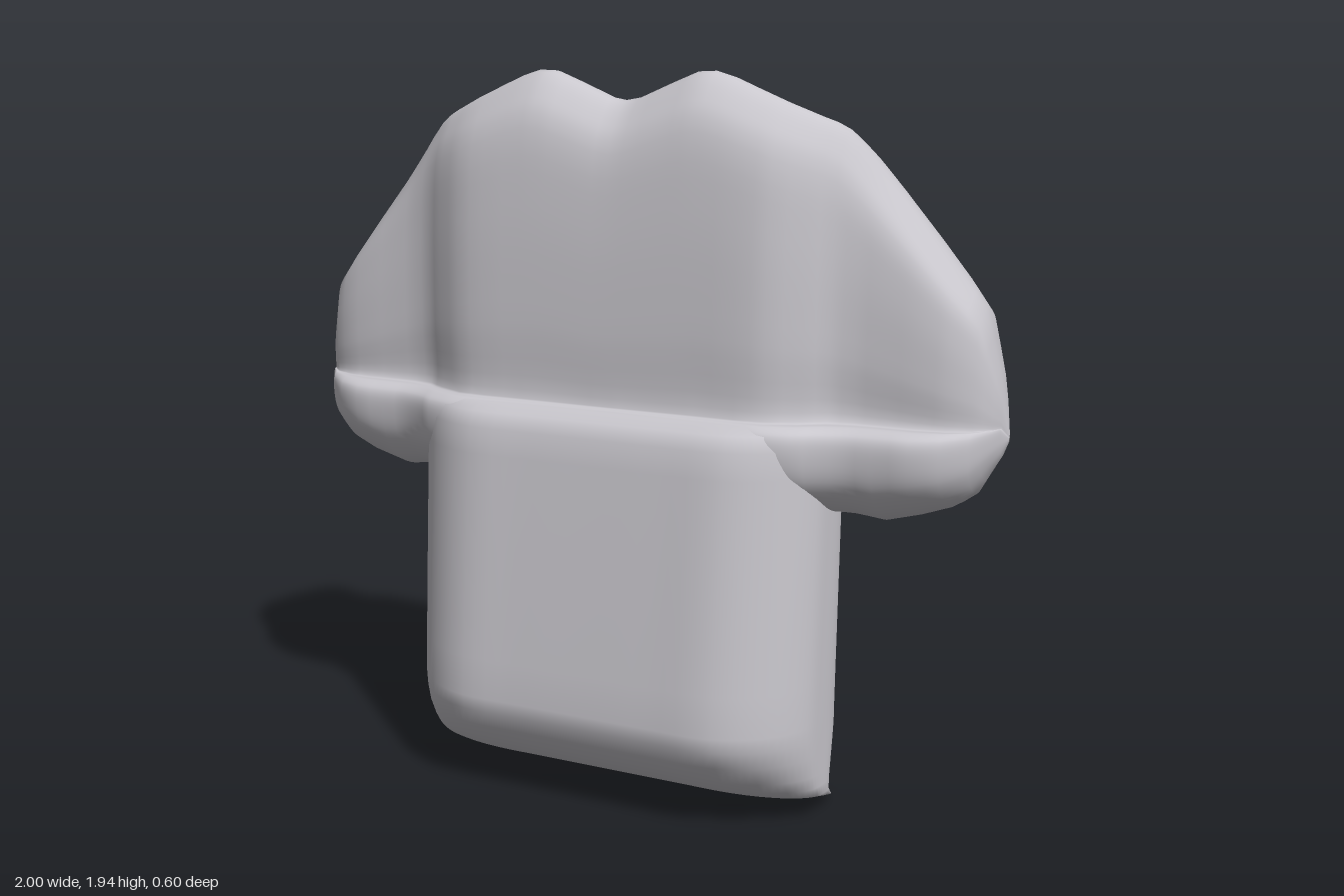
import * as THREE from 'three';

const lerp = THREE.MathUtils.lerp;

// Linear lookup in a table of [key, value, value, ...] rows
function sample(table, key) {
  let i = 0;
  while (i < table.length - 2 && key > table[i + 1][0]) i++;
  const a = table[i], b = table[i + 1];
  const t = THREE.MathUtils.clamp((key - a[0]) / (b[0] - a[0]), 0, 1);
  return a.slice(1).map((v, k) => lerp(v, b[k + 1], t));
}

// Smooth closed ring through a few section points
const smoothRing = (points, n) =>
  new THREE.CatmullRomCurve3(points, true, 'centripetal').getPoints(n).slice(0, n);

// Skin over a list of closed rings
function loft(rings) {
  const n = rings[0].length, index = [];
  for (let r = 0; r < rings.length - 1; r++) {
    for (let i = 0; i < n; i++) {
      const a = r * n + i, b = r * n + (i + 1) % n;
      index.push(a, b, b + n, a, b + n, a + n);
    }
  }
  const g = new THREE.BufferGeometry().setFromPoints(rings.flat());
  g.setIndex(index);
  g.computeVertexNormals();
  return g;
}

// Lower torso: y, front z, back z, width scale
const torsoRows = [
  [0, -0.125, -0.14, 0.93], [0.02, -0.07, -0.115, 0.97], [0.045, 0.02, -0.09, 0.99],
  [0.07, 0.12, -0.085, 1], [0.1, 0.17, -0.105, 1], [0.14, 0.22, -0.135, 1],
  [0.2, 0.272, -0.17, 1], [0.25, 0.294, -0.188, 1], [0.29, 0.3, -0.19, 1],
  [0.4, 0.292, -0.19, 1], [0.7, 0.265, -0.19, 1], [0.95, 0.241, -0.19, 1],
  [1.02, 0.233, -0.19, 1], [1.06, 0.213, -0.188, 1], [1.078, 0.175, -0.185, 1],
  [1.08, 0.1, -0.18, 0.98],
];
// Half outline of the torso: x, depth from back (0) to front (1)
const torsoOutline = [
  [0, 1], [0.2, 1], [0.35, 0.995], [0.44, 0.93], [0.52, 0.8], [0.57, 0.63], [0.583, 0.48],
  [0.585, 0.29], [0.565, 0.2], [0.46, 0.035], [0.38, 0], [0.2, 0], [0, 0],
];

function torsoGeometry() {
  const mirrored = torsoOutline.slice(1, -1).reverse().map(([x, f]) => [-x, f]);
  const outline = [...torsoOutline, ...mirrored];
  return loft(torsoRows.map(([y, front, back, w]) =>
    smoothRing(outline.map(([x, f]) => new THREE.Vector3(x * w, y, lerp(back, front, f))), 96)));
}

// Yoke with sleeves: |x|, bottom y, top y
const outlineTable = [
  [0, 0.83, 1.865], [0.04, 0.83, 1.872], [0.13, 0.83, 1.91], [0.2, 0.83, 1.938],
  [0.25, 0.83, 1.94], [0.3, 0.83, 1.925], [0.57, 0.83, 1.81], [0.62, 0.83, 1.76],
  [0.71, 0.815, 1.65], [0.8, 0.84, 1.54], [0.88, 0.868, 1.44], [0.93, 0.905, 1.375],
  [0.965, 0.97, 1.25], [0.985, 1.005, 1.16], [1, 1.045, 1.06],
];
// |x|, lower front z, upper front z, back z, ridge z
const depthTable = [
  [0, 0.17, 0.14, -0.19, 0], [0.36, 0.18, 0.14, -0.19, 0], [0.44, 0.185, 0.13, -0.195, -0.005],
  [0.52, 0.165, 0.09, -0.22, -0.03], [0.58, 0.13, 0.05, -0.26, -0.06],
  [0.64, 0.108, 0.035, -0.29, -0.085], [0.7, 0.102, 0.03, -0.3, -0.1],
  [0.8, 0.098, 0.025, -0.3, -0.105], [0.87, 0.07, 0.015, -0.28, -0.11],
  [0.93, 0.02, -0.01, -0.235, -0.11], [0.97, -0.04, -0.05, -0.18, -0.11],
  [1, -0.105, -0.107, -0.113, -0.11],
];

function yokeRing(x) {
  const [bottom, top] = sample(outlineTable, Math.abs(x));
  const [low, up, back, ridge] = sample(depthTable, Math.abs(x));
  const step = Math.min(1.08, lerp(bottom, top, 0.6));
  const L = step - bottom, U = top - step;
  const under = Math.min(ridge, -0.07);
  const section = [
    [bottom, under], [bottom + 0.12 * L, lerp(under, low, 0.55)],
    [bottom + 0.4 * L, lerp(under, low, 0.9)], [bottom + 0.7 * L, low],
    [bottom + 0.92 * L, lerp(up, low, 0.92)], [step, lerp(up, low, 0.5)],
    [step + 0.01 * U, up], [step + 0.25 * U, up], [step + 0.6 * U, lerp(up, ridge, 0.05)],
    [step + 0.83 * U, lerp(up, ridge, 0.2)], [step + 0.92 * U, lerp(up, ridge, 0.45)],
    [top, ridge], [step + 0.93 * U, lerp(ridge, back, 0.5)],
    [step + 0.82 * U, lerp(ridge, back, 0.8)], [step + 0.65 * U, lerp(ridge, back, 0.96)],
    [step + 0.4 * U, back], [step + 0.1 * U, back],
    [bottom + 0.7 * L, lerp(under, back, 0.94)], [bottom + 0.35 * L, lerp(under, back, 0.7)],
    [bottom + 0.1 * L, lerp(under, back, 0.38)],
  ];
  return smoothRing(section.map(([y, z]) => new THREE.Vector3(x, y, z)), 100);
}

function yokeGeometry() {
  const half = [0.02, 0.04, 0.08, 0.13, 0.17, 0.2, 0.225, 0.25, 0.3, 0.36, 0.4, 0.44, 0.48, 0.52,
    0.55, 0.58, 0.61, 0.64, 0.67, 0.71, 0.755, 0.8, 0.84, 0.87, 0.9, 0.93, 0.95, 0.97, 0.985, 1];
  const stations = [...half.slice().reverse(), 0, ...half.map(x => -x)];
  return loft(stations.map(yokeRing));
}

export function createModel() {
  const cloth = new THREE.MeshStandardMaterial({ color: 0xc9c7cd });
  cloth.name = 'paleGreyCloth';
  cloth.side = THREE.DoubleSide;

  const group = new THREE.Group();
  group.name = 'shirt';
  const parts = { torso: torsoGeometry(), shouldersAndSleeves: yokeGeometry() };
  for (const [name, geometry] of Object.entries(parts)) {
    const mesh = new THREE.Mesh(geometry, cloth);
    mesh.name = name;
    group.add(mesh);
  }
  return group;
}
